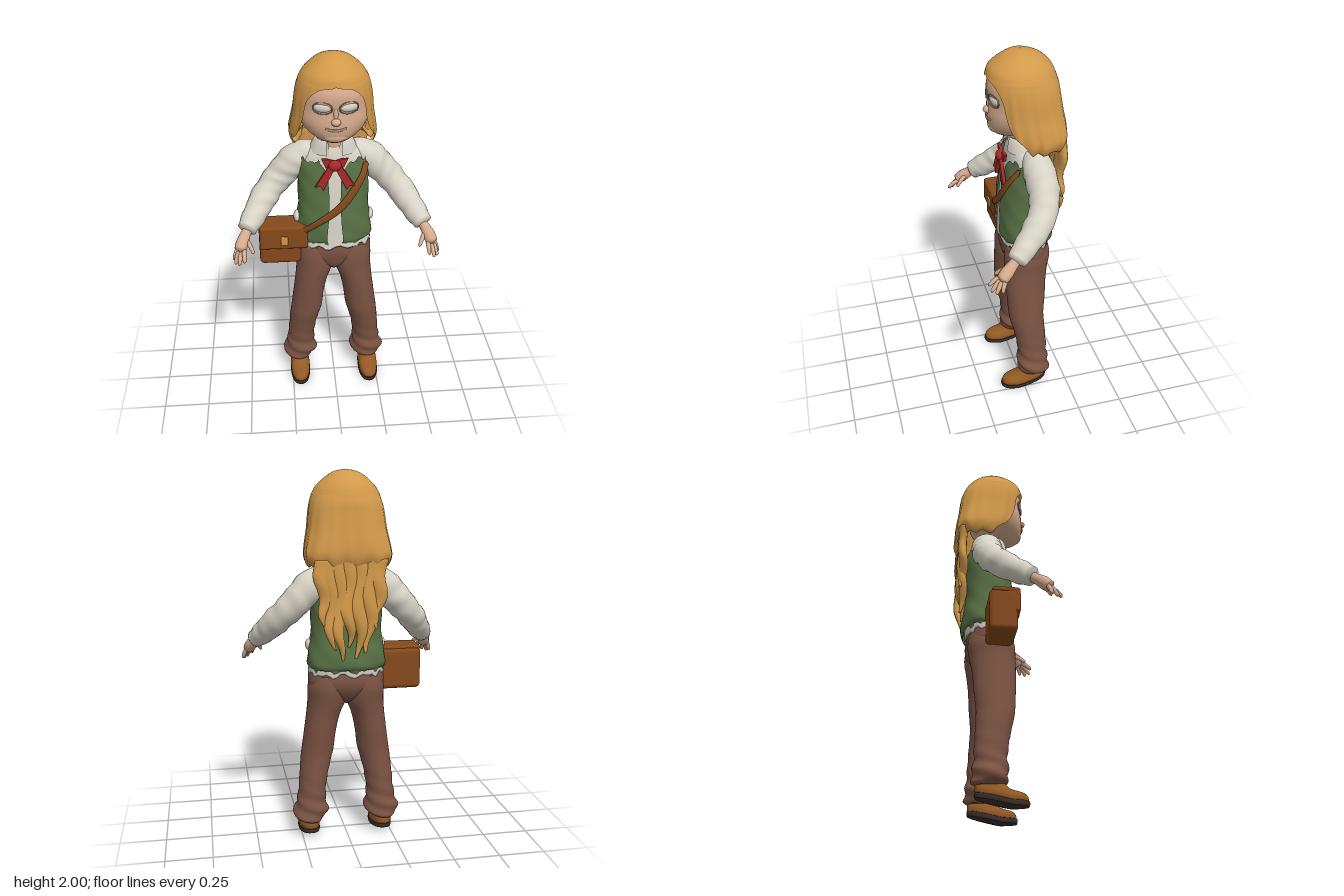
import * as THREE from 'three';
import { mergeVertices } from 'three/addons/utils/BufferGeometryUtils.js';
import { RoundedBoxGeometry } from 'three/addons/geometries/RoundedBoxGeometry.js';

const paint = (name, color) => {
  const m = new THREE.MeshStandardMaterial({ color, side: THREE.DoubleSide });
  m.name = name;
  return m;
};

const smooth = (g) => {
  g.deleteAttribute('uv');
  g.deleteAttribute('normal');
  const m = mergeVertices(g, 1e-5);
  m.computeVertexNormals();
  return m;
};

const spline = (a, b, c, d, t) =>
  0.5 * (2 * b + (c - a) * t + (2 * a - 5 * b + 4 * c - d) * t * t + (3 * b - a - 3 * c + d) * t ** 3);

// Skin over level rings [y, half width, front z, back z, centre x, front opening angle]
function loft(rings, { n = 40, sub = 4, pow = 1, warp, cap = true } = {}) {
  const pos = [], idx = [], last = rings.length - 1, rows = last * sub, p = new THREE.Vector3();
  const at = (i, k) => rings[Math.min(Math.max(i, 0), last)][k] ?? 0;
  const bend = (v) => Math.sign(v) * Math.abs(v) ** pow;
  for (let r = 0; r <= rows; r++) {
    const i = Math.min(Math.floor(r / sub), last - 1), t = r / sub - i;
    const [y, rx, zf, zb, cx, open] = [0, 1, 2, 3, 4, 5].map((k) => spline(at(i - 1, k), at(i, k), at(i + 1, k), at(i + 2, k), t));
    const gap = Math.max(open, 0);
    for (let j = 0; j <= n; j++) {
      const a = gap + (j / n) * (Math.PI * 2 - 2 * gap);
      p.set(cx + rx * bend(Math.sin(a)), y, (zf + zb) / 2 + ((zf - zb) / 2) * bend(Math.cos(a)));
      if (warp) warp(p, a, r / rows);
      pos.push(...p.toArray().map((v) => Math.round(v * 1e6) / 1e6));
      if (r < rows && j < n) {
        const q = r * (n + 1) + j, u = q + n + 1;
        idx.push(q, q + 1, u + 1, q, u + 1, u);
      }
    }
  }
  if (cap) for (const [row, up] of [[0, false], [rows, true]]) {
    const c = pos.length / 3, s = row * (n + 1), k = rings[up ? last : 0];
    pos.push(k[4] ?? 0, k[0], (k[2] + k[3]) / 2);
    for (let j = 0; j < n; j++) idx.push(...(up ? [s + j, s + j + 1, c] : [s + j + 1, s + j, c]));
  }
  const g = new THREE.BufferGeometry();
  g.setAttribute('position', new THREE.Float32BufferAttribute(pos, 3));
  g.setIndex(idx);
  return smooth(g);
}

// Closed tube through points whose radius follows a list; flat squashes it in z
function limb(points, radii, { seg = 28, sides = 14, flat = 1, fold = 0 } = {}) {
  const curve = new THREE.CatmullRomCurve3(points.map((p) => new THREE.Vector3(...p)));
  const g = new THREE.TubeGeometry(curve, seg, 1, sides), a = g.attributes.position, v = new THREE.Vector3();
  for (let i = 0; i <= seg; i++) {
    const c = curve.getPointAt(i / seg), f = (i / seg) * (radii.length - 1), k = Math.min(Math.floor(f), radii.length - 2);
    const r = i % seg ? THREE.MathUtils.lerp(radii[k], radii[k + 1], f - k) : 0;
    for (let j = 0; j <= sides; j++) {
      const q = i * (sides + 1) + j, turn = (j / sides) * Math.PI * 2;
      v.fromBufferAttribute(a, q).sub(c).multiplyScalar(r * (1 + fold * Math.sin(i * 0.9 + 2 * Math.sin(turn)) * Math.cos(turn + i * 0.2)));
      v.z *= flat;
      v.add(c);
      a.setXYZ(q, v.x, v.y, v.z);
    }
  }
  return smooth(g);
}

export function createModel() {
  const model = new THREE.Group();
  const skin = paint('skin', 0xd6ab8e), hairCol = paint('hair', 0xd2994a), cloth = paint('off white', 0xd8d3c6);
  const green = paint('vest green', 0x577144), brown = paint('trouser brown', 0x7b5343), leather = paint('bag leather', 0x85491c);
  const tan = paint('shoe leather', 0x935a24), dark = paint('sole', 0x3b2f29), red = paint('scarf red', 0xa82a2a), lid = paint('lid', 0xa88470);
  const add = (name, geo, mat, place = [0, 0, 0], scale = [1, 1, 1], turn = 0) => {
    const m = new THREE.Mesh(geo, mat);
    m.name = name;
    m.position.set(...place);
    m.scale.set(...scale);
    m.rotation.y = turn;
    model.add(m);
  };
  const ball = new THREE.SphereGeometry(1, 24, 16);

  // Head and face
  add('head', loft([
    [1.565, 0.03, 0.07, -0.06], [1.58, 0.085, 0.11, -0.1], [1.62, 0.142, 0.133, -0.15], [1.68, 0.178, 0.138, -0.17],
    [1.75, 0.184, 0.13, -0.18], [1.83, 0.174, 0.134, -0.18], [1.9, 0.13, 0.1, -0.15], [1.95, 0.07, 0.05, -0.1],
  ]), skin);
  add('neck', loft([[1.44, 0.075, 0.02, -0.12], [1.52, 0.062, 0.02, -0.1], [1.62, 0.07, 0.03, -0.11]]), skin);
  add('nose', ball, skin, [0, 1.7, 0.136], [0.024, 0.019, 0.022]);
  add('noseBridge', ball, skin, [0, 1.735, 0.124], [0.013, 0.04, 0.014]);
  for (const s of [-1, 1]) {
    add('eye', ball, cloth, [s * 0.065, 1.77, 0.113], [0.045, 0.024, 0.016], s * 0.3);
    add('eyeRim', new THREE.TorusGeometry(1, 0.07, 8, 36), lid, [s * 0.065, 1.77, 0.121], [0.049, 0.031, 0.06], s * 0.3);
  }
  add('mouth', limb([[-0.055, 1.668, 0.129], [-0.025, 1.659, 0.137], [0, 1.657, 0.14], [0.025, 1.659, 0.137], [0.055, 1.668, 0.129]],
    [0.005, 0.008, 0.005], { flat: 0.6 }), lid);
  add('chin', ball, skin, [0, 1.613, 0.106], [0.06, 0.032, 0.028]);

  // Hair shell with a face opening, flaring to corners at the back
  add('hair', loft([
    [1.56, 0.16, 0.05, -0.19, 0, 1.5], [1.515, 0.2, 0.08, -0.215, 0, 1.45], [1.56, 0.224, 0.1, -0.24, 0, 1.2],
    [1.62, 0.22, 0.13, -0.245, 0, 0.98], [1.7, 0.206, 0.145, -0.235, 0, 0.88], [1.78, 0.198, 0.15, -0.225, 0, 0.82],
    [1.83, 0.19, 0.15, -0.22, 0, 0.68], [1.865, 0.18, 0.145, -0.21, 0, 0.42], [1.88, 0.175, 0.14, -0.205],
    [1.92, 0.15, 0.125, -0.185], [1.965, 0.1, 0.07, -0.14], [1.99, 0.055, 0.02, -0.08], [2, 0.001, -0.029, -0.031],
  ], {
    n: 96, cap: false, warp: (p, a, t) => {
      const low = Math.max(0, 1 - t * 1.6);
      const corner = Math.cos(a) < 0 ? 0.17 * Math.min(1, low * 1.5) * Math.sin(2 * a) ** 2 : 0;
      const k = 1 + corner + 0.018 * low * Math.sin(a * 19) + 0.004 * Math.sin(a * 31) * (1 - t);
      p.x *= k;
      p.z = (p.z + 0.05) * k - 0.05;
      p.y += 0.012 * low * low * Math.sin(a * 13);
    },
  }), hairCol);

  // Wavy locks down the back, rooted inside the shell
  [[-0.145, 1.2], [-0.1, 1.07], [-0.045, 1.04], [0.015, 1.1], [0.065, 1.03], [0.11, 1.09], [0.15, 1.22]].forEach(([x, end], i) => {
    const rings = [];
    for (let k = 0; k <= 9; k++) {
      const t = k / 9, thick = 0.026 * Math.min(1, 0.25 + t * 3), wave = Math.sin(t * 10 + i * 1.1);
      const z = -0.208 - 0.012 * Math.cos(t * 9 + i) * (1 - t);
      rings.push([end + (1.555 - end) * t, 0.007 + 0.03 * Math.min(1, t * 2.5) + 0.008 * t, z + thick * 0.8, z - thick, x * (0.9 + 0.1 * t) + 0.018 * wave * (1 - t * 0.5)]);
    }
    add('hairLock', loft(rings, { n: 14, sub: 3 }), hairCol);
  });

  // Shirt, collar and vest
  const jag = (a) => Math.sin(a * 11) + Math.sign(Math.sin(a * 17 + 1)) * 0.7;
  add('shirt', loft([
    [0.935, 0.204, 0.084, -0.177], [1.0, 0.2, 0.078, -0.18], [1.15, 0.178, 0.07, -0.17], [1.3, 0.178, 0.055, -0.175],
    [1.4, 0.18, 0.042, -0.17], [1.47, 0.15, 0.03, -0.15], [1.52, 0.085, 0.015, -0.115],
  ], { n: 64, pow: 0.85, warp: (p, a, t) => { if (t < 0.08) p.y += 0.008 * jag(a); } }), cloth);
  add('collar', loft([
    [1.46, 0.1, 0.035, -0.13, 0, 0.3], [1.51, 0.088, 0.03, -0.115, 0, 0.3], [1.55, 0.088, 0.035, -0.115, 0, 0.4],
    [1.53, 0.105, 0.045, -0.13, 0, 0.4], [1.475, 0.13, 0.052, -0.15, 0, 0.3],
  ], { cap: false }), cloth);
  add('vest', loft([
    [0.965, 0.2, 0.083, -0.188, 0, 0.13], [0.99, 0.211, 0.092, -0.202, 0, 0.15], [1.05, 0.205, 0.092, -0.2, 0, 0.14],
    [1.15, 0.19, 0.086, -0.187, 0, 0.12], [1.3, 0.19, 0.072, -0.19, 0, 0.12], [1.39, 0.193, 0.058, -0.188, 0, 0.18],
    [1.44, 0.18, 0.05, -0.178, 0, 0.4],
  ], {
    n: 96, pow: 0.85, cap: false, warp: (p, a, t) => {
      const puff = 1 + 0.014 * Math.sin(a * 6 + p.y * 45);
      p.x *= puff;
      p.z = (p.z + 0.055) * puff - 0.055;
      if (t < 0.04 || t > 0.96) p.y += 0.01 * jag(a);
    },
  }), green);

  // Neck scarf
  add('scarfKnot', ball, red, [0, 1.432, 0.072], [0.034, 0.03, 0.024]);
  for (const s of [-1, 1]) {
    for (const [name, pts, z] of [
      ['scarfLoop', [[0, 1.42], [0.045, 1.42], [0.066, 1.465], [0.035, 1.462], [0, 1.45]], 0.055],
      ['scarfTail', [[0, 1.425], [0.035, 1.425], [0.1, 1.318], [0.074, 1.322], [0.062, 1.298]], 0.07],
    ]) {
      const shape = new THREE.Shape(pts.map(([x, y]) => new THREE.Vector2(x * s, y)));
      add(name, new THREE.ExtrudeGeometry(shape, { depth: 0.012, bevelSize: 0.003, bevelThickness: 0.003, bevelSegments: 2 }), red, [0, 0, z]);
    }
  }

  // Trouser seat, tapering in between the legs
  add('trouserSeat', loft([[0.765, 0.02, 0.02, -0.09], [0.8, 0.07, 0.055, -0.135], [0.86, 0.19, 0.074, -0.17], [0.91, 0.206, 0.078, -0.176], [0.96, 0.196, 0.07, -0.165]], { pow: 0.85 }), brown);

  for (const s of [-1, 1]) {
    // Trouser legs with folds gathering at the cuff
    add('trouserLeg', loft([
      [0.095, 0.062, -0.005, -0.13, 0.205], [0.115, 0.085, 0.02, -0.15, 0.205], [0.16, 0.094, 0.03, -0.15, 0.198],
      [0.2, 0.083, 0.026, -0.143, 0.196], [0.25, 0.076, 0.025, -0.14, 0.193], [0.35, 0.078, 0.04, -0.135, 0.182],
      [0.45, 0.085, 0.063, -0.13, 0.165], [0.5, 0.088, 0.07, -0.13, 0.155], [0.6, 0.087, 0.076, -0.14, 0.142],
      [0.7, 0.092, 0.08, -0.147, 0.124], [0.78, 0.104, 0.081, -0.16, 0.105], [0.86, 0.106, 0.079, -0.172, 0.102],
      [0.93, 0.09, 0.066, -0.16, 0.1],
    ].map(([y, rx, f, b, cx]) => [y, rx, f, b, cx * s]), {
      warp: (p, a, t) => {
        const d = Math.max(0, 0.5 - t) * 0.02 * Math.sin(p.y * 75 + a * 2);
        p.x += d * Math.sin(a);
        p.z += d * Math.cos(a);
      },
    }), brown);

    // Shoes, heel slightly raised
    const heel = (p) => { p.y += Math.max(0, 0.04 - p.z) * 0.2; };
    add('shoe', loft([
      [0.022, 0.054, 0.124, -0.132, s * 0.205], [0.045, 0.056, 0.122, -0.134, s * 0.205], [0.065, 0.05, 0.1, -0.132, s * 0.205],
      [0.085, 0.045, 0.03, -0.13, s * 0.205], [0.13, 0.043, -0.01, -0.125, s * 0.205],
    ], { warp: heel, pow: 0.85 }), tan);
    add('shoeSole', loft([[0, 0.055, 0.127, -0.134, s * 0.205], [0.013, 0.058, 0.131, -0.137, s * 0.205], [0.026, 0.057, 0.129, -0.136, s * 0.205]],
      { warp: heel, pow: 0.85 }), dark);

    // Sleeves, and shirt bunching out at the waist
    const side = (pts) => pts.map(([x, y, z]) => [x * s, y, z]);
    add('sleeve', limb(side([[0.08, 1.455, -0.07], [0.17, 1.425, -0.08], [0.23, 1.37, -0.085], [0.3, 1.295, -0.075], [0.36, 1.23, -0.035], [0.42, 1.155, 0.045], [0.475, 1.09, 0.125]]),
      [0.06, 0.084, 0.082, 0.074, 0.072, 0.063, 0.05], { seg: 44, sides: 20, fold: 0.05 }), cloth);
    add('shirtPuff', ball, cloth, [s * 0.198, 1.085, -0.03], [0.02, 0.032, 0.035]);

    // Hands
    add('palm', limb(side([[0.455, 1.11, 0.1], [0.48, 1.075, 0.145], [0.497, 1.045, 0.18], [0.508, 1.02, 0.205]]), [0.026, 0.027, 0.034, 0.03], { seg: 14 }), skin);
    for (const [a, b] of [
      [[0.482, 1.03, 0.2], [0.484, 0.985, 0.265]], [[0.498, 1.02, 0.205], [0.512, 0.965, 0.257]], [[0.512, 1.02, 0.2], [0.532, 0.96, 0.235]],
      [[0.518, 1.025, 0.185], [0.54, 0.968, 0.205]], [[0.472, 1.065, 0.16], [0.434, 1.012, 0.222]],
    ]) {
      const mid = a.map((v, i) => (v + b[i]) / 2 + (i === 1 ? 0.006 : 0));
      add('finger', limb(side([a, mid, b]), [0.013, 0.012, 0.008], { seg: 10, sides: 10 }), skin);
    }
  }

  // Shoulder bag
  const box = (name, w, h, d, place, mat, r) => add(name, new RoundedBoxGeometry(w, h, d, 4, r), mat, place);
  box('bagBody', 0.225, 0.225, 0.145, [-0.297, 0.942, -0.017], leather, 0.025);
  box('bagFlap', 0.262, 0.137, 0.075, [-0.276, 1.0, 0.032], leather, 0.015);
  box('bagFlapTop', 0.225, 0.03, 0.13, [-0.297, 1.053, -0.01], leather, 0.014);
  box('bagBuckle', 0.04, 0.052, 0.012, [-0.272, 0.988, 0.073], hairCol, 0.005);
  add('bagStrap', limb([[0.17, 1.425, 0.012], [0.145, 1.36, 0.055], [0.085, 1.265, 0.083], [0.02, 1.185, 0.091], [-0.08, 1.11, 0.09], [-0.17, 1.045, 0.062], [-0.22, 1.035, 0.03]],
    [0.014, 0.021, 0.022, 0.018, 0.016], { seg: 40, flat: 0.35 }), leather);

  return model;
}
